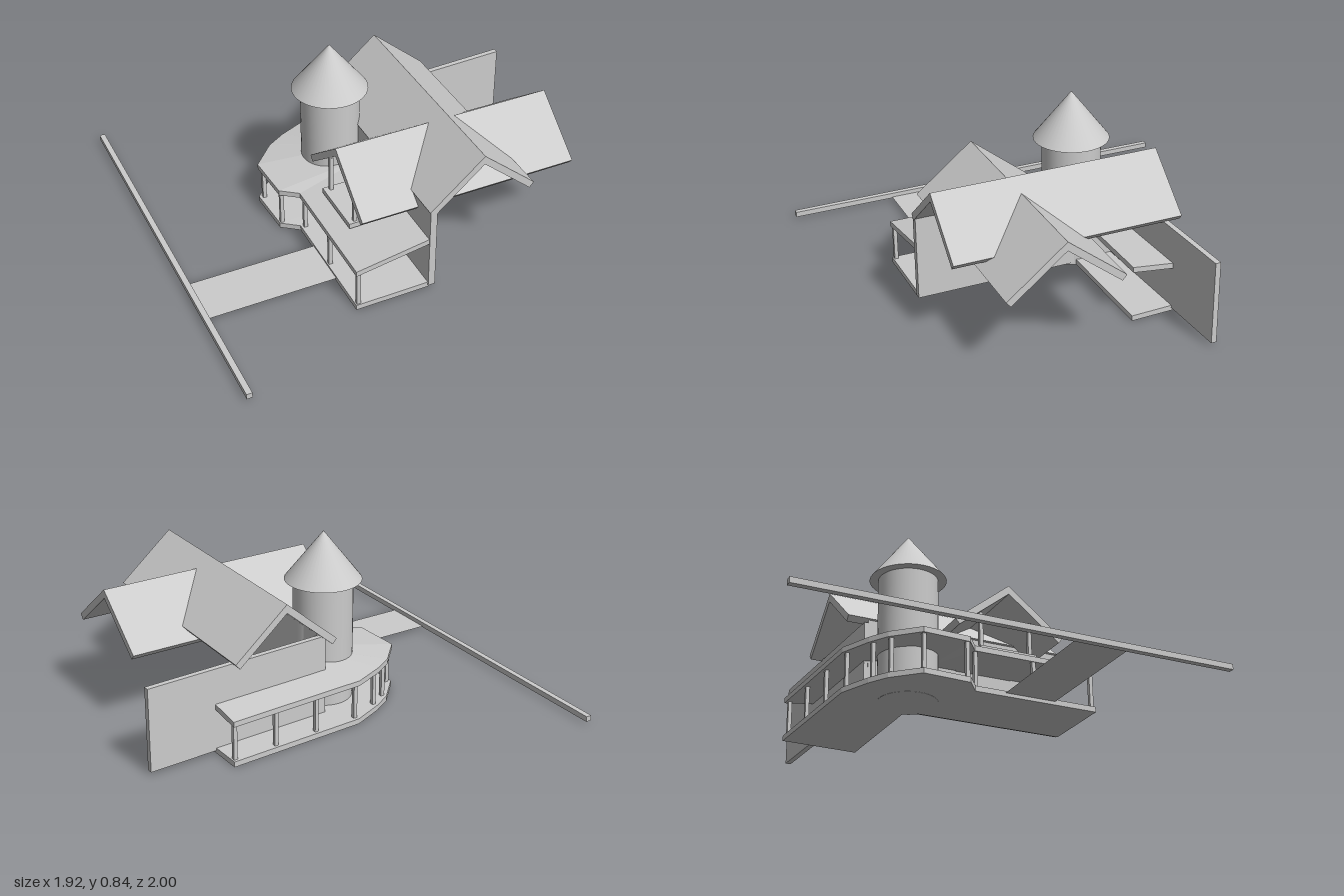
import * as THREE from 'three';

const mat = new THREE.MeshStandardMaterial({ color: 0xcccccc, side: THREE.DoubleSide });
const flat = new THREE.MeshStandardMaterial({ color: 0xcccccc, side: THREE.DoubleSide, flatShading: true });

export function createModel() {
  const model = new THREE.Group();

  const add = (name, geometry, material = mat) => {
    const mesh = new THREE.Mesh(geometry, material);
    mesh.name = name;
    model.add(mesh);
    return mesh;
  };
  // Box given by its minimum and maximum on each axis
  const box = (name, x0, x1, y0, y1, z0, z1) => {
    const mesh = add(name, new THREE.BoxGeometry(x1 - x0, y1 - y0, z1 - z0));
    mesh.position.set((x0 + x1) / 2, (y0 + y1) / 2, (z0 + z1) / 2);
    return mesh;
  };

  // Street curb and path to the porch
  box('curb', -0.962, -0.935, 0.02, 0.046, -1, 1);
  const path = add('walkway', new THREE.PlaneGeometry(0.64, 0.25).rotateX(-Math.PI / 2));
  path.position.set(-0.62, 0.025, 0.365);

  // Long side wall and slightly turned rear wall
  box('sideWall', 0.035, 0.068, 0.02, 0.44, -0.28, 0.705);
  const rear = box('rearWall', 0.035, 0.957, 0.022, 0.42, -0.323, -0.297);
  rear.rotation.y = 0.05;

  // Crossing gable roofs: an open chevron extruded along the ridge
  const gable = (name, length, half, ridge, eave) => {
    const shape = new THREE.Shape([
      [-half, eave], [0, ridge], [half, eave],
      [half - 0.021, eave - 0.025], [0, ridge - 0.042], [-half + 0.021, eave - 0.025],
    ].map(([x, y]) => new THREE.Vector2(x, y)));
    const geometry = new THREE.ExtrudeGeometry(shape, { depth: length, bevelEnabled: false });
    return add(name, geometry.translate(0, 0, -length / 2));
  };
  gable('mainRoof', 1.09, 0.26, 0.664, 0.44).position.set(0.29, 0, 0.163);
  const cross = gable('crossRoof', 1.07, 0.277, 0.608, 0.388);
  cross.rotation.y = Math.PI / 2;
  cross.position.set(0.297, 0, 0.312);

  // Round tower with conical roof
  const tower = add('tower', new THREE.CylinderGeometry(0.14, 0.14, 0.61, 40));
  tower.position.set(-0.065, 0.313, -0.125);
  const cone = add('towerRoof', new THREE.ConeGeometry(0.18, 0.232, 40));
  cone.position.set(-0.065, 0.736, -0.125);

  // Porch wrapping around the tower: outer and inner edges as [x, z]
  const outer = [[-0.32, 0.7], [-0.32, 0.09], [-0.4, 0.03], [-0.412, -0.2],
    [-0.3, -0.32], [-0.21, -0.375], [-0.06, -0.44], [0.62, -0.478]];
  const inner = [[0.04, 0.7], [0.04, 0.09], [0.04, 0.03], [0.04, -0.05],
    [0.04, -0.08], [0.04, -0.09], [0.05, -0.09], [0.635, -0.1]];

  // Slab between two edges, each with its own height
  const slab = (name, yOut, yIn, thick) => {
    const pos = [];
    const quad = (a, b, c, d) => pos.push(...a, ...b, ...c, ...a, ...c, ...d);
    const o = (i, drop) => [outer[i][0], yOut - drop, outer[i][1]];
    const n = (i, drop) => [inner[i][0], yIn - drop, inner[i][1]];
    const last = outer.length - 1;
    for (let i = 0; i < last; i++) {
      quad(o(i, 0), n(i, 0), n(i + 1, 0), o(i + 1, 0));
      quad(o(i, thick), o(i + 1, thick), n(i + 1, thick), n(i, thick));
      quad(o(i, 0), o(i + 1, 0), o(i + 1, thick), o(i, thick));
      quad(n(i, 0), n(i, thick), n(i + 1, thick), n(i + 1, 0));
    }
    quad(o(0, 0), o(0, thick), n(0, thick), n(0, 0));
    quad(o(last, 0), n(last, 0), n(last, thick), o(last, thick));
    const geometry = new THREE.BufferGeometry();
    geometry.setAttribute('position', new THREE.Float32BufferAttribute(pos, 3));
    geometry.computeVertexNormals();
    add(name, geometry, flat);
  };
  slab('porchDeck', 0.034, 0.036, 0.026);
  slab('porchRoof', 0.228, 0.285, 0.026);

  // Porch posts just inside the outer edge
  const posts = [[-0.305, 0.685], [-0.305, 0.39], [-0.3, 0.1], [-0.385, 0.02], [-0.388, -0.19],
    [-0.285, -0.3], [-0.2, -0.35], [-0.05, -0.415], [0.17, -0.43], [0.39, -0.443], [0.605, -0.455]];
  for (const [x, z] of posts) box('porchPost', x - 0.009, x + 0.009, 0.03, 0.222, z - 0.009, z + 0.009);

  // Small open bay above the porch, under the cross roof
  box('bayFloor', -0.235, 0.04, 0.255, 0.28, 0.16, 0.45);
  for (const z of [0.18, 0.43]) box('bayPost', -0.21, -0.192, 0.27, z < 0.3 ? 0.46 : 0.45, z - 0.009, z + 0.009);

  return model;
}
